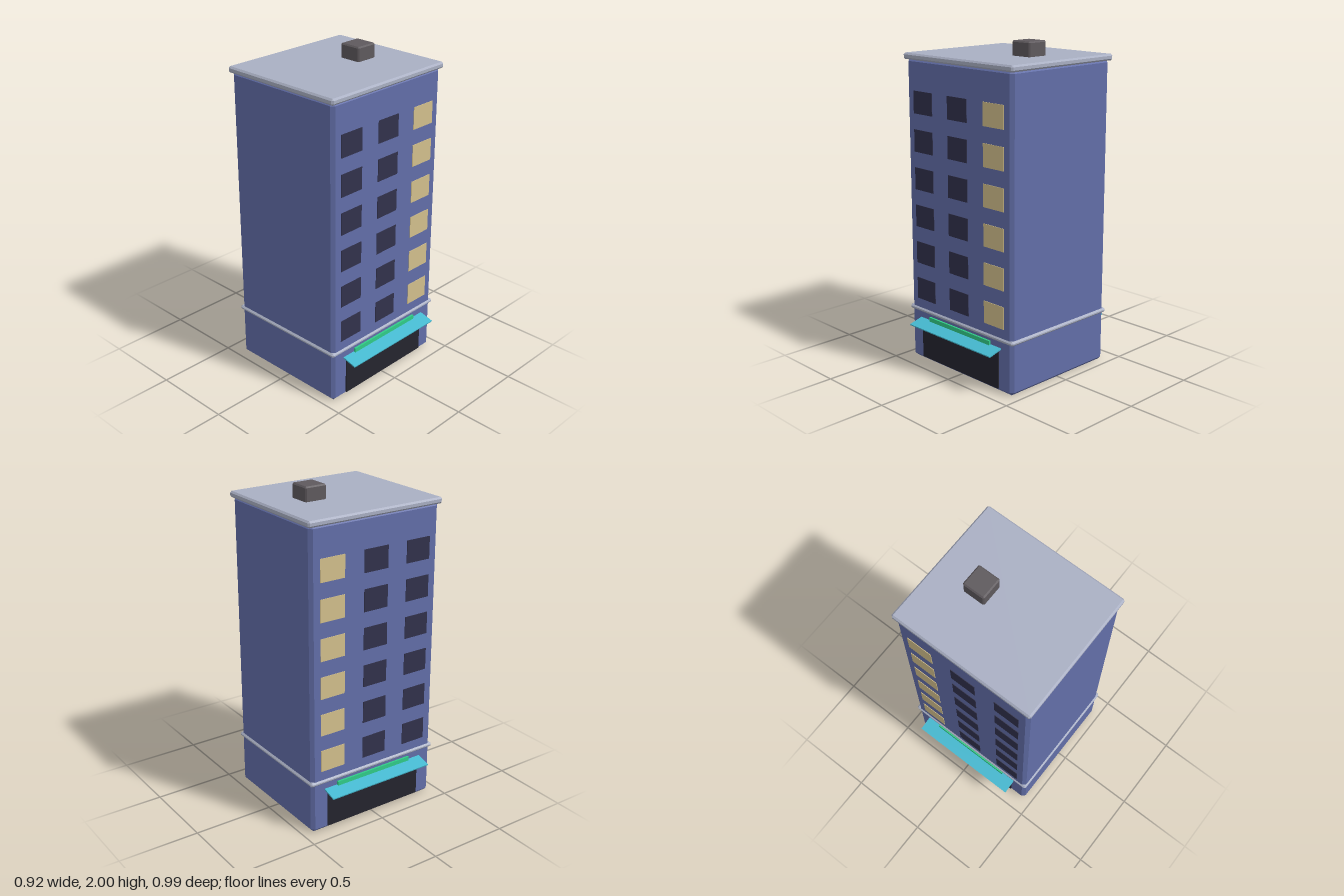
import * as THREE from 'three';
import { ConvexGeometry } from 'three/addons/geometries/ConvexGeometry.js';

const mat = (name, color) => {
  const m = new THREE.MeshStandardMaterial({ color });
  m.name = name;
  return m;
};

// Box with a single flat chamfer on every edge, spanning y0 to y1
function chamferBox(w, y0, y1, d, c) {
  const [a, h, b] = [w / 2, (y1 - y0) / 2, d / 2];
  const points = [];
  for (const x of [-1, 1]) for (const y of [-1, 1]) for (const z of [-1, 1]) {
    points.push(
      new THREE.Vector3(x * a, y * (h - c), z * (b - c)),
      new THREE.Vector3(x * (a - c), y * h, z * (b - c)),
      new THREE.Vector3(x * (a - c), y * (h - c), z * b)
    );
  }
  return new ConvexGeometry(points).translate(0, (y0 + y1) / 2, 0);
}

export function createModel() {
  const wall = mat('blue wall', 0x626ea8);
  const trim = mat('pale grey trim', 0xa9afc3);
  const darkGlass = mat('dark glass', 0x31314b);
  const litGlass = mat('lit glass', 0xd2bf8c);
  const doorGlass = mat('shopfront glass', 0x24242e);
  const awningTeal = mat('teal awning', 0x45b9d0);
  const signGreen = mat('green sign', 0x30cc88);
  const ventGrey = mat('roof unit grey', 0x5e595d);

  const model = new THREE.Group();
  model.name = 'apartmentBlock';
  const add = (parent, name, geometry, material, x = 0, y = 0, z = 0) => {
    const mesh = new THREE.Mesh(geometry, material);
    mesh.name = name;
    mesh.position.set(x, y, z);
    parent.add(mesh);
    return mesh;
  };

  // Main volume, ledge and roof
  add(model, 'building', chamferBox(0.89, 0, 1.885, 0.803, 0.02), wall);
  add(model, 'ledge', chamferBox(0.91, 0.313, 0.341, 0.82, 0.01), trim);
  add(model, 'roofSlab', chamferBox(0.92, 1.875, 1.913, 0.83, 0.01), trim);
  add(model, 'roofUnit', chamferBox(0.142, 1.905, 2, 0.142, 0.008), ventGrey, 0.178);

  // Matching facades, mirrored front to back
  const windowGeo = new THREE.BoxGeometry(0.165, 0.136, 0.008);
  const doorGeo = new THREE.BoxGeometry(0.675, 0.235, 0.009);
  const signGeo = new THREE.BoxGeometry(0.535, 0.05, 0.02);
  const awningGeo = new THREE.BoxGeometry(0.714, 0.008, 0.096);
  for (const side of [1, -1]) {
    const facade = new THREE.Group();
    facade.name = side > 0 ? 'frontFacade' : 'backFacade';
    model.add(facade);

    for (let row = 0; row < 6; row++) {
      for (let col = -1; col <= 1; col++) {
        add(facade, 'window', windowGeo, col === 1 ? litGlass : darkGlass,
          col * 0.299, 0.466 + row * 0.232, side * 0.401);
      }
    }

    add(facade, 'shopfront', doorGeo, doorGlass, 0, 0.138, side * 0.404);
    add(facade, 'sign', signGeo, signGreen, 0, 0.275, side * 0.404);
    const awning = add(facade, 'awning', awningGeo, awningTeal, 0, 0.261, side * 0.446);
    awning.rotation.x = side * 0.26;
  }
  return model;
}
